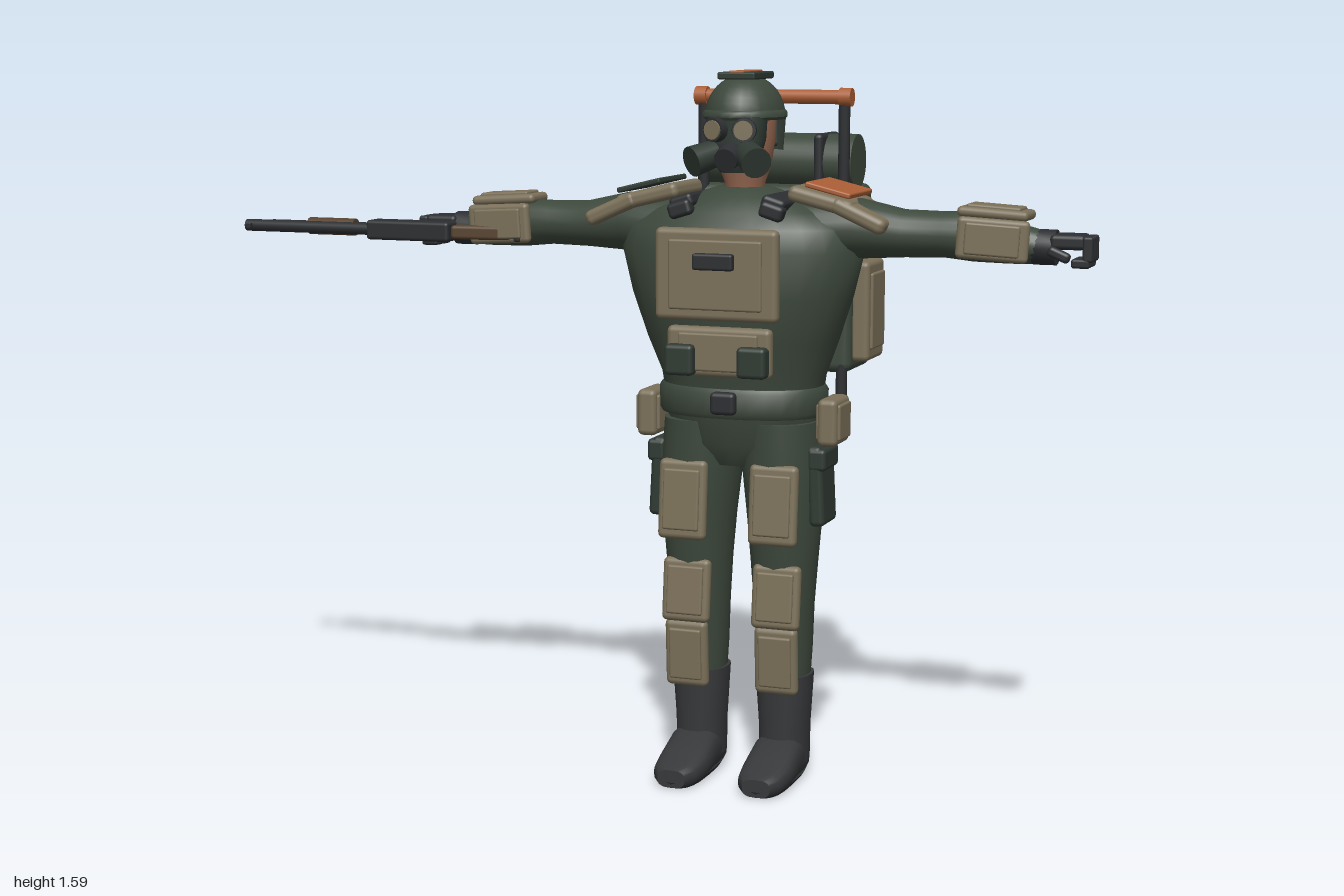
import * as THREE from 'three';
import { toCreasedNormals } from 'three/addons/utils/BufferGeometryUtils.js';
import { RoundedBoxGeometry } from 'three/addons/geometries/RoundedBoxGeometry.js';

const mat = (name, color, side = THREE.FrontSide) => {
  const m = new THREE.MeshStandardMaterial({ color, side });
  m.name = name;
  return m;
};

// Closed loft of rings [y, x, z, rx, rz]; p below 1 squares the section off
function loft(rings, p = 1, n = 20) {
  const pos = [], idx = [];
  const pow = v => Math.sign(v) * Math.abs(v) ** p;
  for (const [y, x, z, rx, rz] of rings) {
    for (let i = 0; i < n; i++) {
      const t = (i / n) * Math.PI * 2;
      pos.push(x + rx * pow(Math.cos(t)), y, z + rz * pow(Math.sin(t)));
    }
  }
  const last = rings.length - 1;
  for (let j = 0; j < last; j++) {
    for (let i = 0; i < n; i++) {
      const a = j * n + i, b = j * n + (i + 1) % n;
      idx.push(a, a + n, b, b, a + n, b + n);
    }
  }
  for (const j of [0, last]) {
    const c = pos.length / 3;
    pos.push(rings[j][1], rings[j][0], rings[j][2]);
    for (let i = 0; i < n; i++) {
      const a = j * n + i, b = j * n + (i + 1) % n;
      idx.push(c, ...(j ? [b, a] : [a, b]));
    }
  }
  const g = new THREE.BufferGeometry();
  g.setAttribute('position', new THREE.Float32BufferAttribute(pos, 3));
  g.setIndex(idx);
  return g;
}

export function createModel() {
  const green = mat('uniformGreen', 0x3d483c);
  const tan = mat('paddingTan', 0x7b7059);
  const dark = mat('gearBlack', 0x2c2e31);
  const boot = mat('bootGrey', 0x37383a);
  const orange = mat('markerOrange', 0xab5f36);
  const skin = mat('skin', 0x946650);
  const brown = mat('woodBrown', 0x58432f);
  const pouchGreen = mat('pouchGreen', 0x303a33);

  const root = new THREE.Group();
  root.name = 'soldier';
  const body = new THREE.Group();
  body.name = 'body';
  body.position.x = 0.217;
  root.add(body);

  const add = (name, geo, m, x = 0, y = 0, z = 0, rot = [0, 0, 0], parent = body) => {
    const mesh = new THREE.Mesh(geo, m);
    mesh.name = name;
    mesh.position.set(x, y, z);
    mesh.rotation.set(...rot);
    parent.add(mesh);
    return mesh;
  };
  const smooth = g => toCreasedNormals(g, 0.8);
  const box = (w, h, d, r = 0.01) => new RoundedBoxGeometry(w, h, d, 2, Math.min(r, w / 2.1, h / 2.1, d / 2.1));
  const cyl = (r1, r2, h, n = 16) => new THREE.CylinderGeometry(r1, r2, h, n);
  // Padded plate with a raised inner panel; axis is its thin direction
  const plate = (name, m, size, at, axis, rot) => {
    add(name, box(...size, 0.013), m, ...at, rot);
    const inner = size.map((v, i) => (i === axis ? v + 0.012 : v * 0.76));
    add(name + 'Panel', box(...inner, 0.005), m, ...at, rot);
  };

  // Torso, hips and belt
  add('torso', smooth(loft([
    [0.84, 0, 0.08, 0.175, 0.122], [0.92, 0, 0.082, 0.187, 0.128], [1.0, 0, 0.09, 0.218, 0.143],
    [1.1, 0, 0.095, 0.252, 0.15], [1.2, 0, 0.095, 0.277, 0.15], [1.25, 0, 0.096, 0.262, 0.138],
    [1.285, 0, 0.095, 0.205, 0.115], [1.315, 0, 0.09, 0.12, 0.088], [1.335, 0, 0.085, 0.06, 0.055]], 0.9, 28)), green);
  add('hips', smooth(loft([[0.72, 0, 0.085, 0.08, 0.08], [0.77, 0, 0.085, 0.165, 0.108],
    [0.86, 0, 0.085, 0.175, 0.118]], 0.9, 24)), green);
  add('belt', smooth(loft([[0.832, 0, 0.083, 0.186, 0.128], [0.842, 0, 0.083, 0.192, 0.134],
    [0.888, 0, 0.083, 0.192, 0.134], [0.898, 0, 0.083, 0.186, 0.128]], 0.9, 28)), green);
  add('buckle', box(0.058, 0.05, 0.03), dark, 0, 0.868, 0.218);
  add('backBeltPouch', box(0.24, 0.09, 0.055), pouchGreen, 0, 0.827, -0.072);

  // Chest, belly and back armour
  plate('chestPlate', tan, [0.28, 0.2, 0.032], [0, 1.155, 0.262], 2);
  add('chestRadio', box(0.092, 0.036, 0.03, 0.006), dark, 0, 1.185, 0.285);
  plate('bellyPlate', tan, [0.24, 0.11, 0.03], [0, 0.985, 0.243], 2);
  plate('backPlate', tan, [0.28, 0.24, 0.03], [0, 1.14, -0.066], 2);

  // Head, helmet and breathing mask
  add('head', smooth(loft([[1.28, 0, 0.082, 0.045, 0.048], [1.345, 0, 0.082, 0.045, 0.05],
    [1.38, 0, 0.084, 0.058, 0.06], [1.44, 0, 0.084, 0.068, 0.065], [1.5, 0, 0.084, 0.07, 0.065]])), skin);
  const dome = new THREE.SphereGeometry(1, 24, 10, 0, Math.PI * 2, 0, Math.PI / 2);
  add('helmet', dome, green, 0, 1.49, 0.083).scale.set(0.087, 0.09, 0.104);
  add('helmetRim', smooth(loft([[1.482, 0, 0.083, 0.086, 0.104], [1.488, 0, 0.083, 0.092, 0.109],
    [1.498, 0, 0.083, 0.091, 0.108], [1.503, 0, 0.083, 0.086, 0.103]], 1, 24)), green);
  const guard = new THREE.CylinderGeometry(0.086, 0.08, 0.08, 16, 1, true, Math.PI * 0.68, Math.PI * 0.64);
  const helmetInside = mat('helmetGreen', 0x374238, THREE.DoubleSide);
  add('neckGuard', guard, helmetInside, 0, 1.452, 0.062);
  add('neckGuardPad', box(0.1, 0.075, 0.025), pouchGreen, 0, 1.455, -0.012);
  add('helmetPlate', box(0.086, 0.016, 0.135, 0.004), pouchGreen, 0, 1.577, 0.08);
  add('helmetStripe', box(0.034, 0.008, 0.13, 0.002), orange, 0, 1.584, 0.08);
  add('mask', smooth(loft([[1.368, 0, 0.142, 0.035, 0.025], [1.4, 0, 0.145, 0.055, 0.038],
    [1.44, 0, 0.143, 0.066, 0.042], [1.49, 0, 0.14, 0.068, 0.045]], 0.8)), pouchGreen);
  add('maskSnout', cyl(0.026, 0.03, 0.05), dark, 0, 1.405, 0.19, [Math.PI / 2 + 0.3, 0, 0]);
  for (const s of [-1, 1]) {
    add('eyeRim', cyl(0.026, 0.028, 0.025), dark, s * 0.033, 1.462, 0.185, [Math.PI / 2, 0, -s * 0.3]);
    add('eyeLens', cyl(0.021, 0.021, 0.008), tan, s * 0.035, 1.462, 0.198, [Math.PI / 2, 0, -s * 0.3]);
    add('filter', cyl(0.034, 0.03, 0.06), pouchGreen, s * 0.056, 1.402, 0.2, [Math.PI / 2 + 0.35, 0, -s * 0.65]);
  }

  for (const s of [-1, 1]) {
    // Shoulder straps
    add('shoulderStrap', box(0.055, 0.03, 0.22), dark, s * 0.105, 1.305, 0.1, [0, 0, -s * 0.3]);
    add('strapClasp', box(0.055, 0.035, 0.035), dark, s * 0.105, 1.29, 0.205, [0, 0, -s * 0.3]);
    add('strapBack', box(0.055, 0.035, 0.035), dark, s * 0.105, 1.29, -0.003, [0, 0, -s * 0.3]);

    // Shoulder pads, each with a coloured top panel
    add('innerShoulderPad', box(0.15, 0.035, 0.175, 0.014), tan, s * 0.2, 1.312, 0.088, [0, 0, -s * 0.24]);
    add('outerShoulderPad', box(0.13, 0.035, 0.18, 0.014), tan, s * 0.285, 1.282, 0.088, [0, 0, -s * 0.42]);
    add('shoulderPanel', box(0.105, 0.012, 0.172, 0.004), s > 0 ? orange : pouchGreen,
      s * 0.218, 1.336, 0.088, [0, 0, -s * 0.24]);

    // Arm
    const o = h => -s * h;
    const arm = loft([[0.15, o(0.0), 0.09, 0.07, 0.085], [0.27, o(0.01), 0.088, 0.066, 0.075],
      [0.37, o(0.002), 0.086, 0.052, 0.056], [0.46, o(0.002), 0.085, 0.05, 0.052], [0.52, o(0), 0.086, 0.054, 0.05],
      [0.6, o(-0.01), 0.085, 0.046, 0.046], [0.67, o(-0.018), 0.084, 0.036, 0.036]]);
    const armGeo = smooth(arm.rotateZ(-Math.PI / 2));
    if (s < 0) armGeo.rotateY(Math.PI).translate(0, 0, 0.175);
    if (s < 0) armGeo.rotateX(Math.PI).translate(0, 0, 0.175);
    add('arm', armGeo, green, 0, 1.24, 0);
    plate('forearmTopPad', tan, [0.155, 0.022, 0.09], [s * 0.568, 1.292, 0.085], 1, [0, 0, -s * 0.06]);
    plate('forearmFrontPad', tan, [0.155, 0.09, 0.022], [s * 0.572, 1.238, 0.134], 2, [0, s * 0.08, -s * 0.06]);

    // Glove with curled fingers
    const hand = new THREE.Group();
    hand.name = 'hand';
    body.add(hand);
    add('cuff', smooth(cyl(0.038, 0.038, 0.05)), dark, s * 0.675, 1.222, 0.084, [0, 0, Math.PI / 2], hand);
    add('palm', box(0.075, 0.032, 0.075), dark, s * 0.728, 1.236, 0.085, [0, 0, 0], hand);
    for (let i = 0; i < 4; i++) {
      const z = 0.057 + i * 0.019;
      add('knuckle', box(0.022, 0.055, 0.018, 0.006), dark, s * 0.772, 1.222, z, [0, 0, 0], hand);
      add('fingertip', box(0.04, 0.02, 0.018, 0.006), dark, s * 0.757, 1.192, z, [0, 0, 0], hand);
    }
    add('thumb', box(0.05, 0.022, 0.022, 0.008), dark, s * 0.712, 1.21, 0.122, [0, 0, -s * 0.4], hand);

    // Belly pouches, hip pouches and thigh holsters
    add('bellyPouch', box(0.066, 0.068, 0.045), pouchGreen, s * 0.083, 0.968, 0.263);
    plate('hipPouch', tan, [0.045, 0.105, 0.11], [s * 0.212, 0.824, 0.09], 0);
    add('thighHolster', box(0.035, 0.18, 0.105, 0.012), pouchGreen, s * 0.186, 0.68, 0.09, [0, 0, s * 0.05]);
    add('holsterFlap', box(0.042, 0.05, 0.108, 0.01), pouchGreen, s * 0.189, 0.74, 0.09);

    // Leg
    add('leg', smooth(loft([[0.2, s * 0.1, 0.078, 0.055, 0.06], [0.3, s * 0.1, 0.081, 0.062, 0.067],
      [0.4, s * 0.1, 0.087, 0.067, 0.071], [0.5, s * 0.101, 0.09, 0.074, 0.08], [0.6, s * 0.101, 0.09, 0.082, 0.092],
      [0.72, s * 0.095, 0.087, 0.089, 0.104], [0.82, s * 0.09, 0.083, 0.088, 0.11]], 0.9)), green);
    plate('thighPad', tan, [0.112, 0.18, 0.028], [s * 0.106, 0.642, 0.187], 2, [-0.08, 0, 0]);
    plate('kneePad', tan, [0.112, 0.145, 0.028], [s * 0.106, 0.43, 0.162], 2, [-0.1, 0, 0]);
    plate('shinPad', tan, [0.1, 0.155, 0.028], [s * 0.106, 0.284, 0.158], 2, [0.06, 0, 0]);

    // Boot
    add('bootShaft', smooth(loft([[0.035, s * 0.1, 0.076, 0.055, 0.063], [0.12, s * 0.1, 0.076, 0.056, 0.066],
      [0.24, s * 0.1, 0.078, 0.064, 0.069]], 0.85)), boot);
    const foot = loft([[0.018, 0, -0.035, 0.035, 0.034], [0.05, 0, -0.046, 0.052, 0.046], [0.13, 0, -0.05, 0.056, 0.05],
      [0.2, 0, -0.033, 0.058, 0.033], [0.255, 0, -0.026, 0.05, 0.026], [0.28, 0, -0.022, 0.032, 0.02]], 0.65);
    add('foot', smooth(foot.rotateX(Math.PI / 2)), boot, s * 0.1);
    const sole = loft([[0, 0, 0.15, 0.045, 0.126], [0.014, 0, 0.15, 0.054, 0.132]], 0.65);
    add('sole', smooth(sole), dark, s * 0.1);

    // Pack side pouches, frame poles and roll bands
    plate('packSidePouch', tan, [0.045, 0.23, 0.132], [s * 0.205, 1.04, -0.188], 0);
    add('framePole', cyl(0.013, 0.013, 0.69, 10), dark, s * 0.168, 1.168, -0.113);
    add('handleKnob', cyl(0.021, 0.021, 0.028), orange, s * 0.172, 1.525, -0.113, [0, 0, Math.PI / 2]);
    add('rollBand', box(0.022, 0.128, 0.14, 0.025), dark, s * 0.104, 1.378, -0.187);
  }

  // Backpack
  add('backpack', box(0.38, 0.425, 0.18, 0.022), green, 0, 1.112, -0.19);
  plate('packBackPanel', tan, [0.255, 0.25, 0.022], [0, 1.075, -0.284], 2);
  add('bedroll', smooth(cyl(0.063, 0.063, 0.36, 20)), green, 0, 1.377, -0.187, [0, 0, Math.PI / 2]);
  add('carryHandle', cyl(0.016, 0.016, 0.37, 12), orange, 0, 1.525, -0.113, [0, 0, Math.PI / 2]);

  // Long gun lying along the right hand
  const gun = new THREE.Group();
  gun.name = 'longGun';
  root.add(gun);
  const along = [0, 0, Math.PI / 2], none = [0, 0, 0];
  add('receiver', box(0.21, 0.045, 0.055, 0.008), dark, -0.575, 1.217, 0.142, none, gun);
  add('barrel', cyl(0.014, 0.014, 0.34, 12), dark, -0.83, 1.218, 0.155, along, gun);
  add('magazineTube', cyl(0.012, 0.012, 0.31, 12), dark, -0.795, 1.218, 0.122, along, gun);
  add('pump', smooth(cyl(0.02, 0.02, 0.12, 12)), brown, -0.79, 1.218, 0.122, along, gun);
  add('frontSight', box(0.012, 0.012, 0.012, 0.002), dark, -0.985, 1.218, 0.173, none, gun);
  add('grip', box(0.05, 0.03, 0.06), dark, -0.515, 1.218, 0.1, none, gun);
  add('stock', box(0.16, 0.032, 0.032, 0.008), brown, -0.39, 1.217, 0.138, [0, 0.08, 0], gun);
  add('stockPad', box(0.016, 0.036, 0.038, 0.005), dark, -0.306, 1.217, 0.135, none, gun);

  return root;
}
